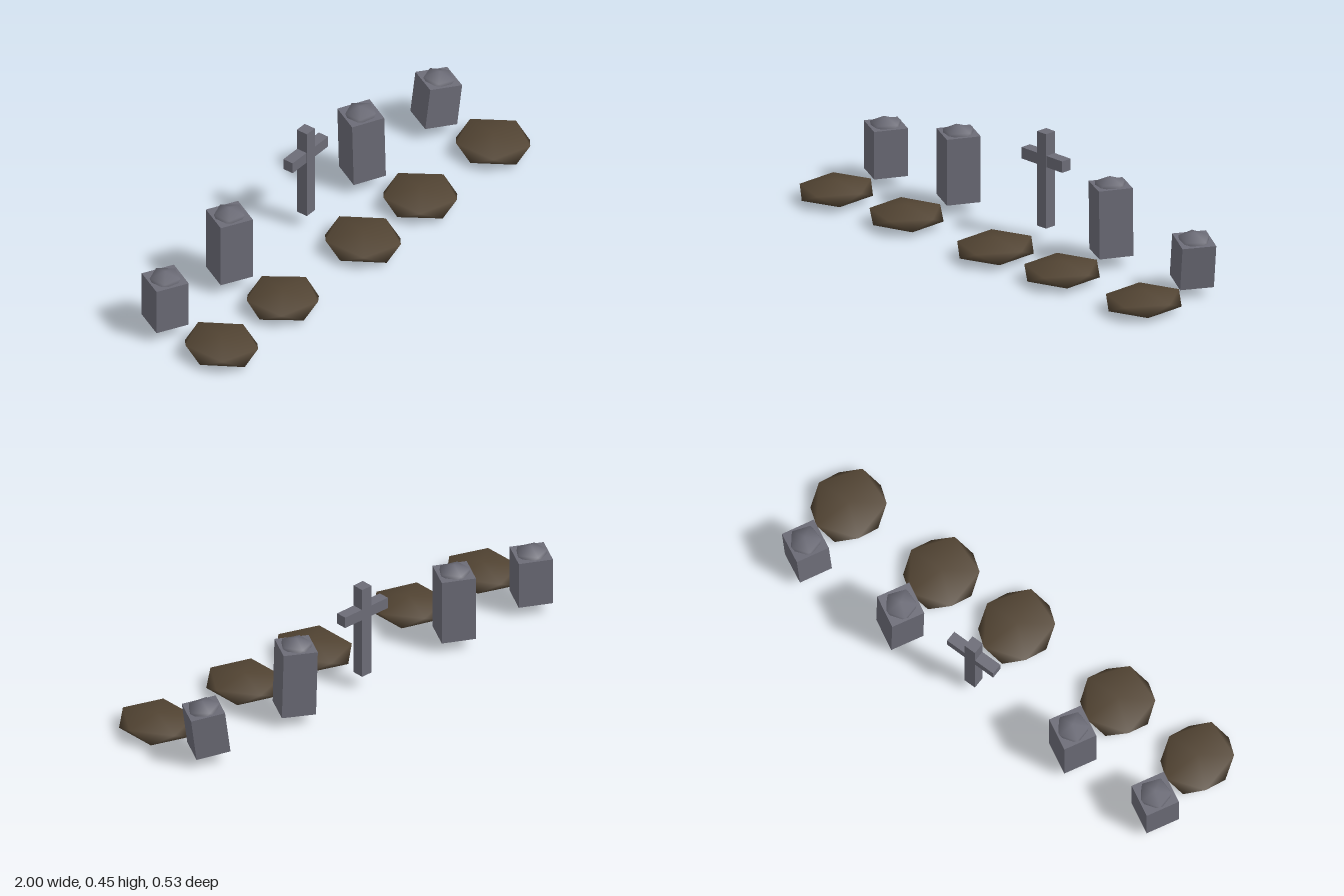
import * as THREE from 'three';
import { mergeVertices } from 'three/addons/utils/BufferGeometryUtils.js';

// Smooth twenty-sided lump with a vertex at the top; rx and rz are its rim radii
function lump(rx, h, rz) {
  let g = new THREE.IcosahedronGeometry(1, 0);
  g.rotateZ(-Math.atan(2 / (1 + Math.sqrt(5))));
  g.deleteAttribute('normal');
  g.deleteAttribute('uv');
  const rim = 2 / Math.sqrt(5);
  g.scale(rx / rim, h, rz / rim);
  g = mergeVertices(g, 1e-4);
  g.computeVertexNormals();
  return g;
}

export function createModel() {
  const root = new THREE.Group();
  const stone = new THREE.MeshStandardMaterial({ name: 'stone grey', color: 0x6c6c77 });
  const earth = new THREE.MeshStandardMaterial({ name: 'earth brown', color: 0x524433 });

  const add = (parent, name, geometry, material, x, y, z) => {
    const m = new THREE.Mesh(geometry, material);
    m.name = name;
    m.position.set(x, y, z);
    parent.add(m);
    return m;
  };

  // Earth mounds: x, z, rim radius in x, rim radius in z
  [
    [-0.8625, 0.103, 0.1375, 0.155],
    [-0.472, 0.103, 0.147, 0.146],
    [0.029, 0.11, 0.145, 0.16],
    [0.397, 0.108, 0.147, 0.153],
    [0.855, 0.112, 0.145, 0.156],
  ].forEach(([x, z, rx, rz]) => add(root, 'mound', lump(rx, 0.043, rz), earth, x, 0.044, z));

  // Headstones: x, z and y of the base, height, lean forward, lean sideways
  const width = 0.138;
  [
    [-0.866, -0.172, 0.045, 0.198, 0, 0],
    [-0.46, -0.17, 0.045, 0.274, 0, 0],
    [0.388, -0.171, 0.045, 0.28, -0.01, 0.025],
    [0.838, -0.168, 0.047, 0.18, 0.045, -0.12],
  ].forEach(([x, z, y, h, leanX, leanZ]) => {
    const headstone = new THREE.Group();
    headstone.name = 'headstone';
    headstone.position.set(x, y, z);
    headstone.rotation.set(leanX, 0, leanZ);
    const block = add(headstone, 'block', new THREE.BoxGeometry(width, h, width), stone, 0, h / 2, 0);
    block.rotation.y = -0.48;
    add(headstone, 'cap', lump(0.063, 0.04, 0.063), stone, 0, h - 0.006, 0);
    root.add(headstone);
  });

  // Stone cross
  const cross = new THREE.Group();
  cross.name = 'cross';
  cross.position.set(0.026, 0, -0.17);
  add(cross, 'upright', new THREE.BoxGeometry(0.05, 0.393, 0.05), stone, 0, 0.2565, 0);
  for (const s of [-1, 1]) {
    add(cross, 'arm', new THREE.BoxGeometry(0.088, 0.047, 0.046), stone, s * 0.069, 0.339, 0);
  }
  root.add(cross);

  return root;
}
